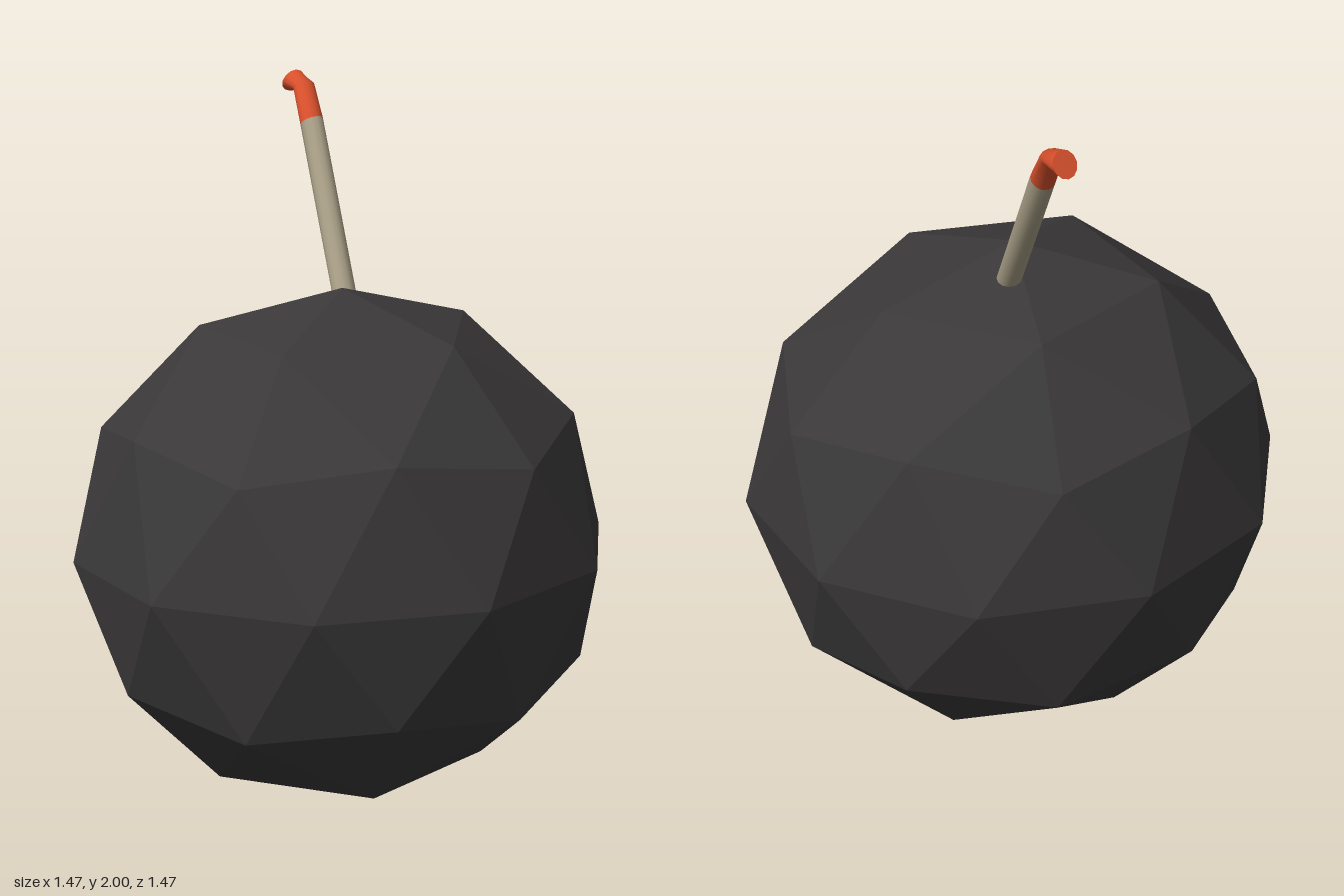
import * as THREE from 'three';

// Skin a run of rings; each ring is a centre plus its up vector (y, z half-height).
function loft(rings, halfWidth, sides, capEnd) {
  const pos = [], index = [];
  const addRing = ([x, y, z, uy, uz]) => {
    for (let i = 0; i < sides; i++) {
      const a = (i / sides) * Math.PI * 2;
      pos.push(x + halfWidth * Math.sin(a), y + uy * Math.cos(a), z + uz * Math.cos(a));
    }
  };
  rings.forEach(addRing);
  for (let r = 0; r < rings.length - 1; r++) {
    for (let i = 0; i < sides; i++) {
      const j = (i + 1) % sides;
      const a = r * sides, b = a + sides;
      index.push(a + i, a + j, b + j, a + i, b + j, b + i);
    }
  }
  // flat end with its own vertices so the rim stays sharp
  if (capEnd) {
    const start = pos.length / 3;
    addRing(rings[rings.length - 1]);
    for (let i = 1; i < sides - 1; i++) index.push(start, start + i, start + i + 1);
  }
  const geo = new THREE.BufferGeometry();
  geo.setAttribute('position', new THREE.Float32BufferAttribute(pos, 3));
  geo.setIndex(index);
  geo.computeVertexNormals();
  return geo;
}

function addPart(group, name, geometry, color, flatShading = false) {
  const mesh = new THREE.Mesh(geometry, new THREE.MeshStandardMaterial({ color, flatShading }));
  mesh.name = name;
  group.add(mesh);
  return mesh;
}

export function createModel() {
  const group = new THREE.Group();
  group.name = 'bomb';

  // Faceted ball: icosphere turned so a vertex points straight up, slightly wide in x
  const ball = new THREE.IcosahedronGeometry(1, 1);
  ball.rotateZ(-Math.atan(2 / (1 + Math.sqrt(5))));
  ball.scale(0.771, 0.733, 0.733);
  ball.translate(0, 0.733, 0);
  addPart(group, 'body', ball, 0x3a3839, true);

  // Leaning fuse, rooted just inside the ball
  const sides = 12, halfWidth = 0.034;
  const joint = [0.15, 1.865, -0.408, 0.0187, 0.0275];
  addPart(group, 'fuse', loft([[0.066, 1.37, -0.075, 0.0187, 0.0275], joint], halfWidth, sides, false), 0xa89e86);

  // Burning tip: pinched at the bend, then turned backwards
  const tip = [joint, [0.163, 1.959, -0.473, 0.014, 0.017], [0.168, 1.9675, -0.5435, 0.0325, 0.0185]];
  addPart(group, 'fuseTip', loft(tip, halfWidth, sides, true), 0xd9502c);

  return group;
}
